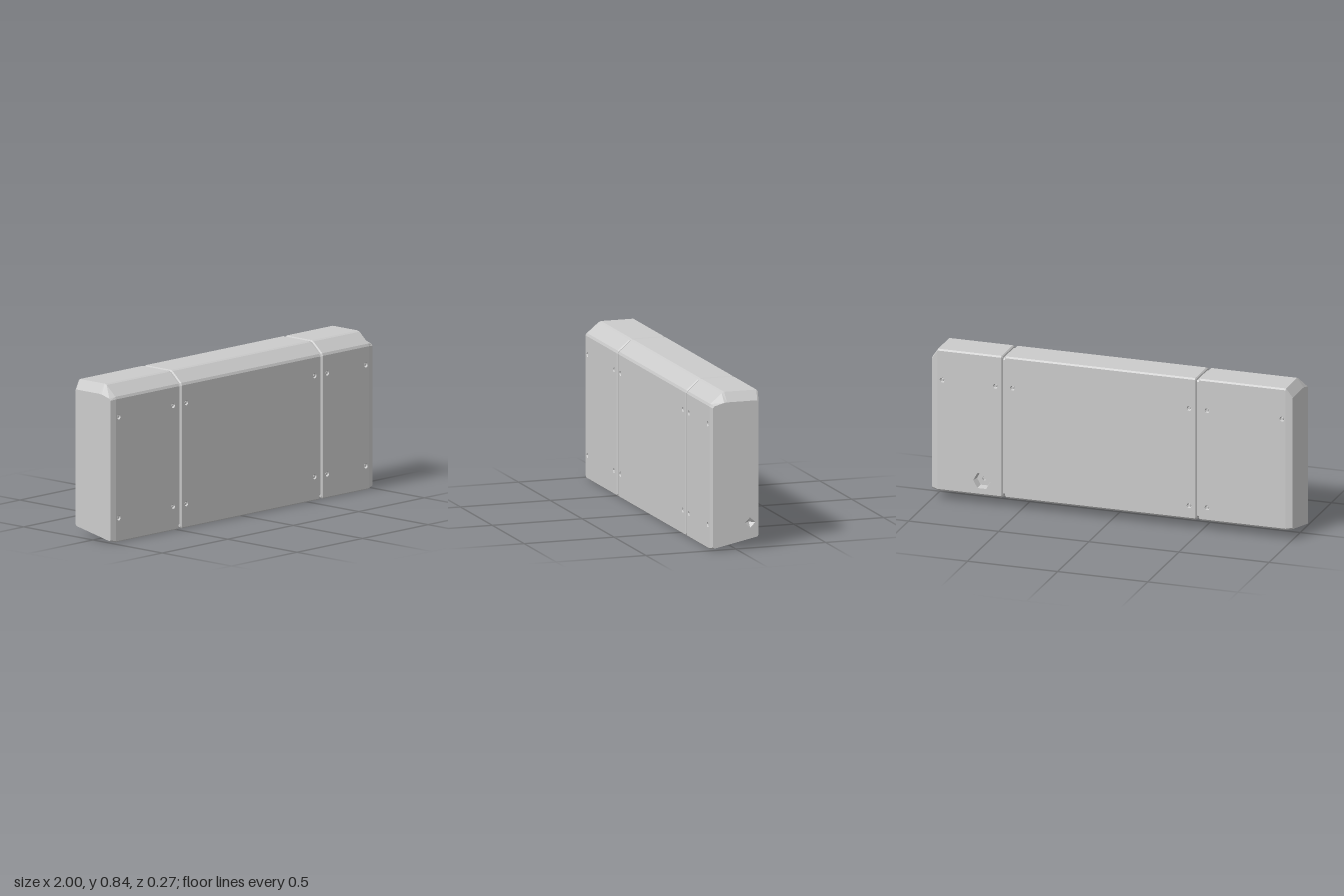
import * as THREE from 'three';
import { mergeGeometries } from 'three/addons/utils/BufferGeometryUtils.js';

const V2 = (a, b) => new THREE.Vector2(a, b);
const V3 = (a, b, c) => new THREE.Vector3(a, b, c);

// Side profile as (z, y): front bottom, front top, top front, top back, back bottom
const CORNERS = [V2(0.135, 0), V2(0.135, 0.775), V2(0.06, 0.84), V2(-0.135, 0.84), V2(-0.135, 0.055)];
const FRONT = 0, BACK = 3, BOTTOM = 4;
const BEVEL = 0.008;

// Profile moved inwards, with each corner cut by a small bevel
function profile(inset, maxY = 9) {
  const n = CORNERS.length;
  const pts = CORNERS.map((p, i) => {
    const d0 = p.clone().sub(CORNERS[(i + n - 1) % n]).normalize();
    const d1 = CORNERS[(i + 1) % n].clone().sub(p).normalize();
    const n0 = V2(-d0.y, d0.x), n1 = V2(-d1.y, d1.x);
    const q = p.clone().addScaledVector(n0.clone().add(n1), inset / (1 + n0.dot(n1)));
    q.y = Math.min(q.y, maxY);
    return q;
  });
  return pts.flatMap((p, i) => [
    p.clone().add(pts[(i + n - 1) % n].clone().sub(p).setLength(BEVEL)),
    p.clone().add(pts[(i + 1) % n].clone().sub(p).setLength(BEVEL)),
  ]);
}

// Flat polygon on a plane, with recesses sunk into it
function face(outline, origin, u, v, holes, solid, cups) {
  const m = new THREE.Matrix4().makeBasis(u, v, u.clone().cross(v)).setPosition(origin);
  const shape = new THREE.Shape(outline);
  for (const h of holes) {
    const d = h.at.clone().sub(origin);
    const x = d.dot(u), y = d.dot(v);
    const ring = [];
    for (let k = 0; k < h.sides; k++) {
      const a = h.turn + (k / h.sides) * Math.PI * 2;
      ring.push(V2(x + h.r * Math.sin(a), y - h.r * Math.cos(a)));
    }
    shape.holes.push(new THREE.Path(ring));
    const cup = new THREE.LatheGeometry(h.section.map(([r, z]) => V2(r * h.r, z)), h.sides, h.turn);
    cups.push(cup.rotateX(Math.PI / 2).translate(x, y, 0).applyMatrix4(m));
  }
  const g = new THREE.ShapeGeometry(shape).toNonIndexed().applyMatrix4(m);
  g.deleteAttribute('uv');
  solid.push(g);
}

// Recess sections as (share of radius, depth)
const SCREW = [[0, -0.004], [0.45, -0.004], [0.6, -0.011], [1, 0]];
const SOCKET = [[0, -0.055], [0.25, -0.055], [0.25, -0.04], [0.85, -0.04], [1, 0]];
const PIT = [[0, -0.025], [1, 0]];
const recess = (side, x, y, z, r, sides, section, turn = 0) => ({ side, at: V3(x, y, z), r, sides, section, turn });

function buildHoles() {
  const holes = [];
  for (const x of [-0.945, -0.53, -0.43, 0.55, 0.645, 0.94]) {
    for (const y of [0.13, 0.67]) {
      holes.push(recess(FRONT, x, y, 0.135, 0.014, 8, SCREW));
      if (y > 0.5 || (x > -0.6 && x < 0)) holes.push(recess(BACK, x, y, -0.135, 0.014, 8, SCREW));
    }
  }
  holes.push(recess(BACK, 0.72, 0.135, -0.135, 0.048, 6, SOCKET, Math.PI / 6));
  holes.push(recess(BOTTOM, 0.53, 0.02, 0.035, 0.03, 3, PIT));
  holes.push(recess('end', 1, 0.138, -0.08, 0.028, 4, PIT));
  return holes;
}

// Loft through sections [x, inset, maxY]; the wide middle span carries the recesses
function loft(name, sections, holes, material, cupMaterial) {
  const group = new THREE.Group();
  group.name = name;
  const solid = [], cups = [], strip = [];
  const rings = sections.map(([x, inset, maxY]) => profile(inset, maxY).map(p => V3(x, p.y, p.x)));
  const n = rings[0].length;
  const main = sections.length === 4 ? 1 : 0;
  for (let s = 0; s < rings.length - 1; s++) {
    const a = rings[s], b = rings[s + 1];
    for (let i = 0; i < n; i++) {
      const j = (i + 1) % n;
      if (s === main) {
        const w = b[i].x - a[i].x, h = a[i].distanceTo(a[j]);
        const here = i % 2 ? holes.filter(o => o.side === (i - 1) / 2 && o.at.x > a[i].x && o.at.x < b[i].x) : [];
        const v = a[j].clone().sub(a[i]).normalize();
        face([V2(0, 0), V2(w, 0), V2(w, h), V2(0, h)], a[i], V3(1, 0, 0), v, here, solid, cups);
      } else {
        for (const p of [a[i], b[i], b[j], a[i], b[j], a[j]]) strip.push(p);
      }
    }
  }
  if (strip.length) {
    const g = new THREE.BufferGeometry().setFromPoints(strip);
    g.computeVertexNormals();
    solid.push(g);
  }
  // End caps
  for (const dir of [-1, 1]) {
    const ring = dir < 0 ? rings[0] : rings[rings.length - 1];
    const x = ring[0].x;
    const here = holes.filter(o => o.side === 'end' && Math.abs(o.at.x - x) < 0.001);
    face(ring.map(p => V2(-dir * p.z, p.y)), V3(x, 0, 0), V3(0, 0, -dir), V3(0, 1, 0), here, solid, cups);
  }
  const body = new THREE.Mesh(mergeGeometries(solid), material);
  body.name = name + 'Body';
  group.add(body);
  if (cups.length) {
    const mesh = new THREE.Mesh(mergeGeometries(cups), cupMaterial);
    mesh.name = name + 'Recesses';
    group.add(mesh);
  }
  return group;
}

export function createModel() {
  const model = new THREE.Group();
  model.name = 'wallSlab';
  const stone = new THREE.MeshStandardMaterial({ color: 0xcccccc, flatShading: true });
  const inner = new THREE.MeshStandardMaterial({ color: 0xcccccc, flatShading: true, side: THREE.DoubleSide });
  const holes = buildHoles();
  const e = 0.006;

  // Three panels; the outer ends slope down at the top
  model.add(loft('rightPanel', [[-1, 0.008, 0.79], [-0.965, 0, 9], [-0.482 - e, 0, 9], [-0.482, e, 9]], holes, stone, inner));
  model.add(loft('middlePanel', [[-0.468, e, 9], [-0.468 + e, 0, 9], [0.593 - e, 0, 9], [0.593, e, 9]], holes, stone, inner));
  model.add(loft('leftPanel', [[0.607, e, 9], [0.607 + e, 0, 9], [0.965, 0, 9], [1, 0.008, 0.79]], holes, stone, inner));

  // Core filling the grooves between panels
  for (const x of [-0.475, 0.6]) {
    model.add(loft('grooveCore', [[x - 0.007, 0.014, 9], [x + 0.007, 0.014, 9]], [], stone, inner));
  }
  return model;
}
